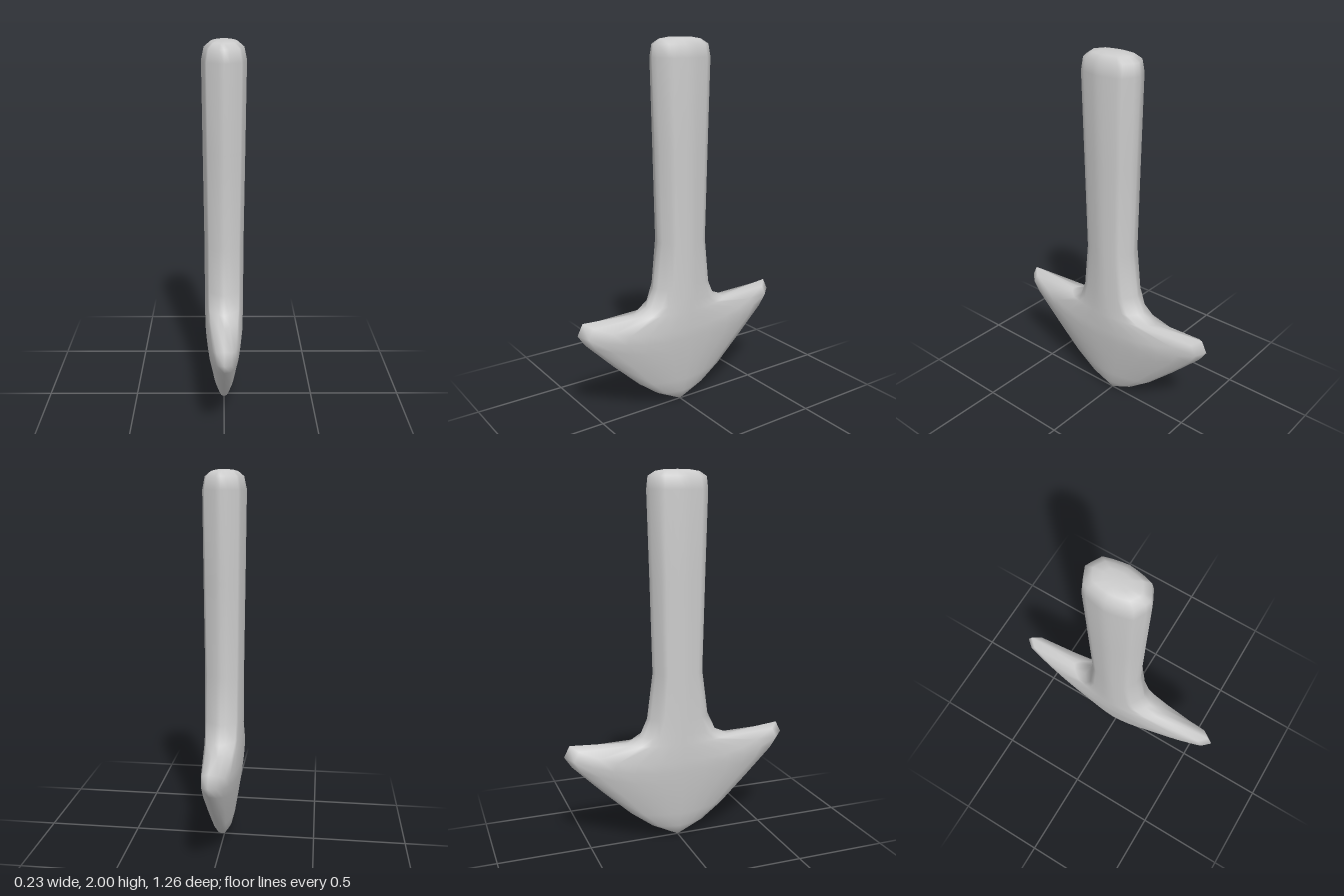
import * as THREE from 'three';
import { mergeVertices } from 'three/addons/utils/BufferGeometryUtils.js';

// Positions across half a section (0 = middle, 1 = edge) and the thickness there
const ACROSS = [0, 0.2, 0.42, 0.6, 0.76, 0.93, 1];
const SHAFT = [1, 0.96, 0.9, 0.83, 0.75, 0.25, 0];
const HEAD = [1, 0.95, 0.85, 0.71, 0.56, 0.37, 0];

// Sections from tip to top:
// [edge z, edge y, middle y, half thickness, bend of the section, shaft share]
const SECTIONS = [
  [0, 0.005, 0.005, 0, 1, 0],
  [0.15, 0.08, 0.07, 0.04, 1, 0],
  [0.27, 0.17, 0.15, 0.06, 1.5, 0],
  [0.43, 0.32, 0.26, 0.078, 1.7, 0],
  [0.59, 0.48, 0.34, 0.09, 2, 0],
  [0.63, 0.54, 0.41, 0.098, 2.3, 0],
  [0.6, 0.6, 0.47, 0.104, 3, 0],
  [0.3, 0.57, 0.57, 0.105, 1, 0.6],
  [0.22, 0.605, 0.63, 0.105, 1, 0.9],
  [0.175, 0.7, 0.72, 0.105, 1, 1],
  [0.142, 0.95, 0.95, 0.105, 1, 1],
  [0.155, 1.45, 1.45, 0.11, 1, 1],
  [0.168, 1.9, 1.9, 0.114, 1, 1],
  [0.16, 1.965, 1.965, 0.1, 1, 1],
  [0.12, 1.99, 1.99, 0.07, 1, 1],
  [0.07, 1.998, 1.998, 0.04, 1, 1],
  [0, 2, 2, 0, 1, 1],
];

// One closed section, running from +z over +x to -z and back over -x
function sectionPoints([edgeZ, edgeY, midY, half, bend, share]) {
  const last = ACROSS.length - 1;
  const count = last * 4;
  const points = [];
  for (let j = 0; j < count; j++) {
    const side = j <= last * 2 ? 1 : -1;
    const step = side > 0 ? last - j : j - last * 3;
    const k = Math.abs(step);
    const t = ACROSS[k];
    const x = side * half * THREE.MathUtils.lerp(HEAD[k], SHAFT[k], share);
    points.push(x, midY + (edgeY - midY) * t ** bend, Math.sign(step) * t * edgeZ);
  }
  return points;
}

// Skin neighbouring sections with quads
function loft(sections) {
  const positions = sections.flatMap(sectionPoints);
  const n = positions.length / 3 / sections.length;
  const index = [];
  for (let i = 0; i < sections.length - 1; i++) {
    for (let j = 0; j < n; j++) {
      const a = i * n + j;
      const b = i * n + ((j + 1) % n);
      if (i > 0) index.push(a, b, a + n);
      if (i < sections.length - 2) index.push(b, b + n, a + n);
      else if (i === 0) index.push(b, b + n, a + n);
    }
  }
  const geometry = new THREE.BufferGeometry();
  geometry.setAttribute('position', new THREE.Float32BufferAttribute(positions, 3));
  geometry.setIndex(index);
  const merged = mergeVertices(geometry, 1e-4);
  merged.computeVertexNormals();
  return merged;
}

export function createModel() {
  const group = new THREE.Group();
  group.name = 'hammerPendant';

  // Shaft and two-armed head flow into one smooth body
  const body = new THREE.Mesh(
    loft(SECTIONS),
    new THREE.MeshStandardMaterial({ color: 0xcccccc })
  );
  body.name = 'shaftAndHead';
  group.add(body);
  return group;
}
